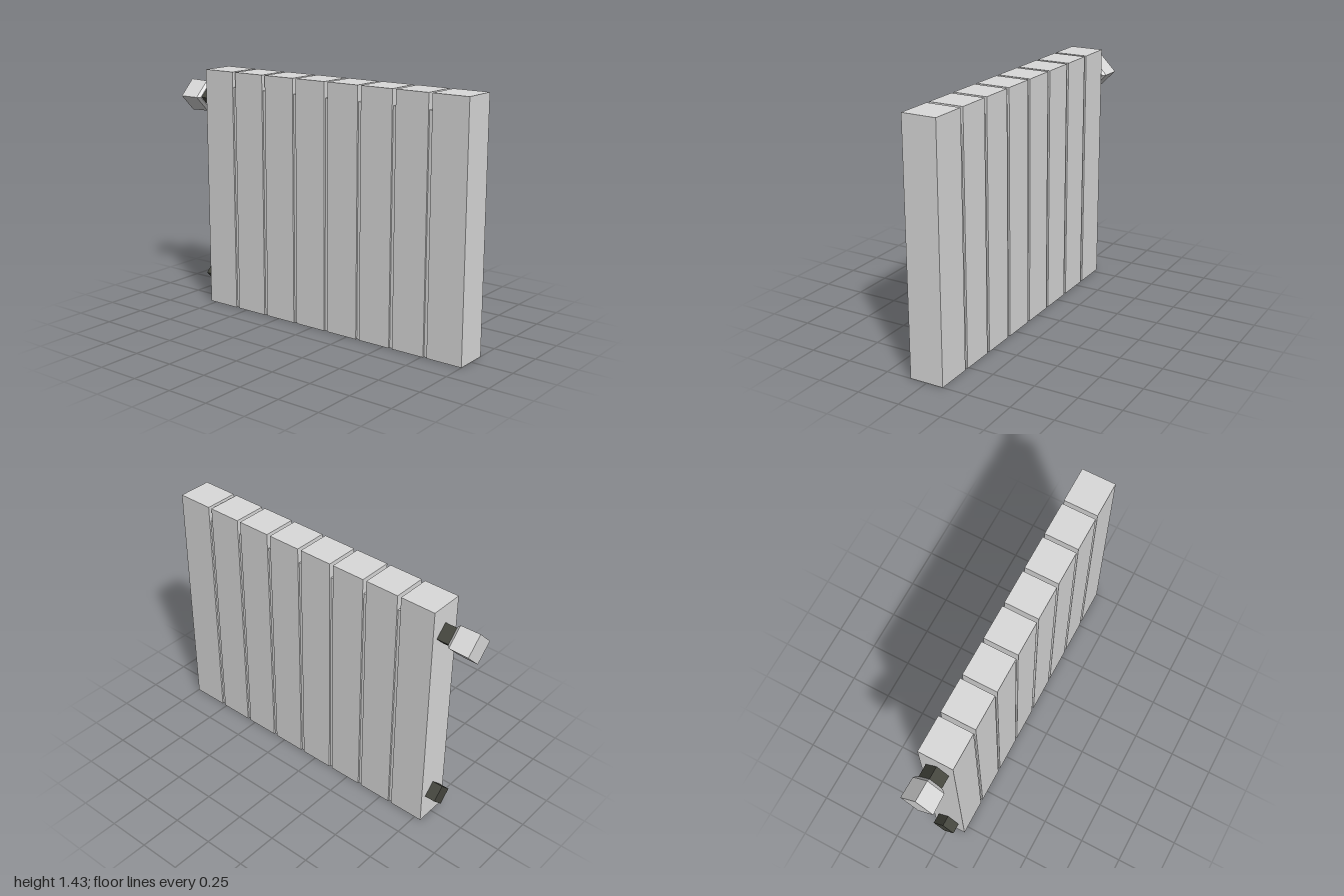
import * as THREE from 'three';

const enamel = new THREE.MeshStandardMaterial({ color: 0xdadada, side: THREE.DoubleSide });
enamel.name = 'pale grey enamel';
const darkMetal = new THREE.MeshStandardMaterial({ color: 0x45463e });
darkMetal.name = 'dark metal';

function flat(geometry) {
  const g = geometry.index ? geometry.toNonIndexed() : geometry;
  g.computeVertexNormals();
  return g;
}

// Inverted U section at x: front foot, front top, back top, back foot
const section = (x, top, z) => [[x, 0, z], [x, top, z], [x, top, -z], [x, 0, -z]];

// Hollow ribbed casing, open underneath
function casingGeometry() {
  const count = 8, left = -0.79, right = 1, gap = 0.022;
  const grooves = [];
  for (let i = 1; i < count; i++) grooves.push(-0.57 + (i - 1) * 0.2237);

  const stations = [section(left, 1.433, 0.1)];
  for (const x of grooves) {
    const a = x - gap / 2, b = x + gap / 2;
    stations.push(
      section(a, 1.433, 0.1), section(a, 1.343, 0.09),
      section(b, 1.343, 0.09), section(b, 1.433, 0.1)
    );
  }
  stations.push(section(right, 1.433, 0.1));

  const positions = [];
  const quad = (a, b, c, d) => positions.push(...a, ...b, ...c, ...a, ...c, ...d);
  for (let i = 0; i < stations.length - 1; i++) {
    const a = stations[i], b = stations[i + 1];
    for (let k = 0; k < 3; k++) quad(a[k], b[k], b[k + 1], a[k + 1]);
  }
  // End walls
  const s = stations[0], e = stations[stations.length - 1];
  quad(s[3], s[0], s[1], s[2]);
  quad(e[0], e[3], e[2], e[1]);

  const g = new THREE.BufferGeometry();
  g.setAttribute('position', new THREE.Float32BufferAttribute(positions, 3));
  return flat(g);
}

// Four-sided turned part lying along x; profile is [radius, x] from the casing outwards
function fitting(name, profile, y, material) {
  const points = profile.map(([r, x]) => new THREE.Vector2(r, -x));
  const mesh = new THREE.Mesh(flat(new THREE.LatheGeometry(points, 4)), material);
  mesh.name = name;
  mesh.rotation.z = Math.PI / 2;
  mesh.position.y = y;
  return mesh;
}

export function createModel() {
  const model = new THREE.Group();
  model.name = 'radiator';

  const casing = new THREE.Mesh(casingGeometry(), enamel);
  casing.name = 'ribbedCasing';
  model.add(casing);

  // Pipe stubs and the valve knob
  const stub = (end) => [[0, -0.79], [0.067, -0.79], [0.067, end], [0, end]];
  model.add(
    fitting('lowerPipe', stub(-0.853), 0.162, darkMetal),
    fitting('upperPipe', stub(-0.866), 1.257, darkMetal),
    fitting('valveKnob', [[0, -0.863], [0.073, -0.863], [0.091, -0.88], [0.094, -1], [0, -1]], 1.257, enamel)
  );
  return model;
}
